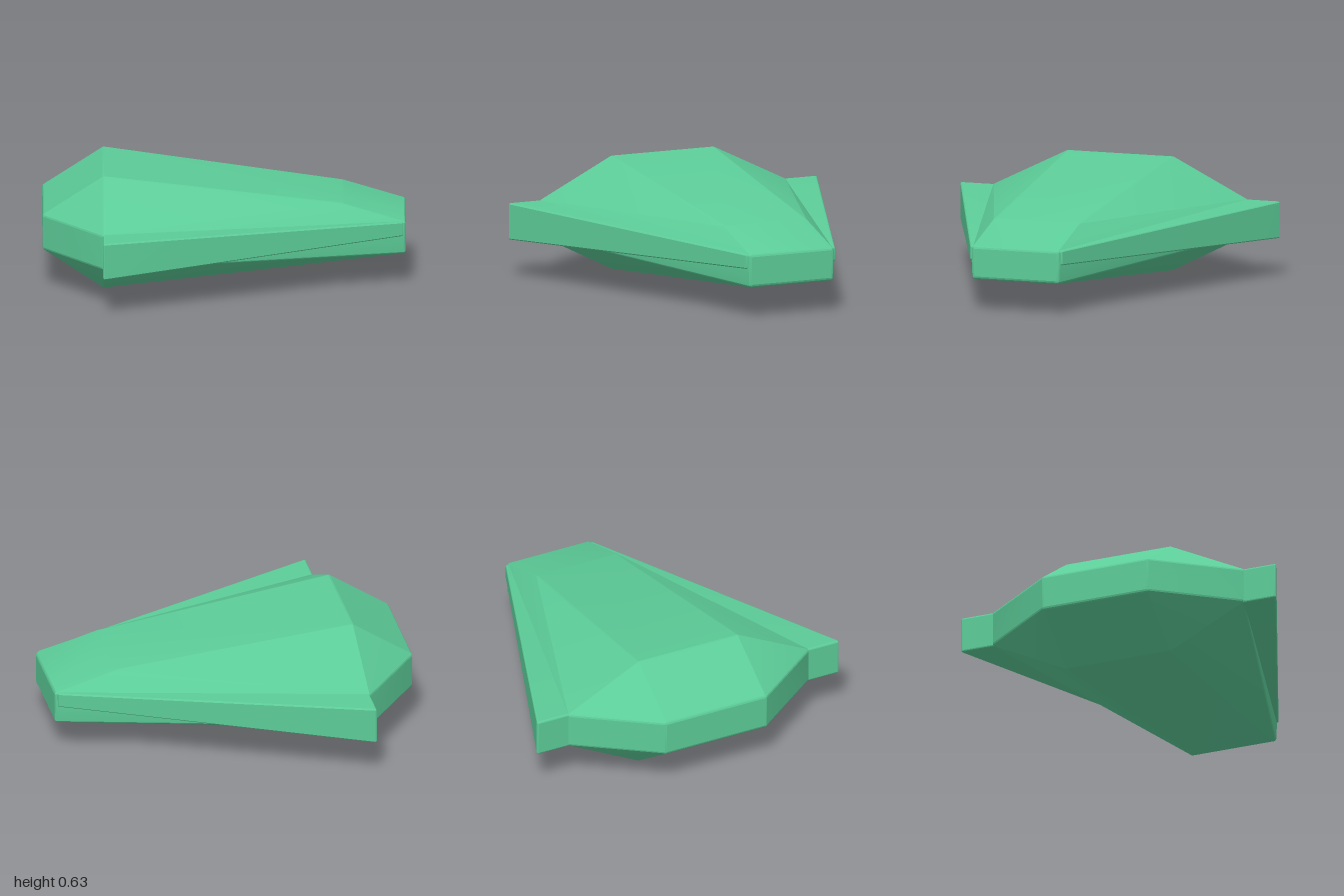
import * as THREE from 'three';
import { ConvexGeometry } from 'three/addons/geometries/ConvexGeometry.js';
import { mergeVertices, toCreasedNormals } from 'three/addons/utils/BufferGeometryUtils.js';

// Unique points of a small ball, used to round every corner
function ballPoints(r) {
  const ball = new THREE.IcosahedronGeometry(r, 1);
  ball.deleteAttribute('normal');
  ball.deleteAttribute('uv');
  const pos = mergeVertices(ball, 1e-4).attributes.position;
  return Array.from({ length: pos.count }, (_, i) => new THREE.Vector3().fromBufferAttribute(pos, i));
}

// Convex solid through corners [x, y, z], mirrored over z, with rounded edges.
// The corners are pulled in so that the rounding stays inside the outline.
function roundedSolid(corners, midY, r) {
  const points = [];
  const ball = ballPoints(r);
  for (const [x, y, z] of corners) {
    for (const side of [1, -1]) {
      const core = new THREE.Vector3(x, y - r * Math.sign(y - midY), side * (z - r));
      // only the end corners need shortening along x
      if (Math.abs(x) > 0.98) core.x -= r * Math.sign(x);
      for (const b of ball) points.push(core.clone().add(b));
    }
  }
  return toCreasedNormals(new ConvexGeometry(points), 0.25);
}

export function createModel() {
  const model = new THREE.Group();
  model.name = 'wedgeCraft';
  const material = new THREE.MeshStandardMaterial({ color: 0x5ccc98 });

  const add = (name, geometry) => {
    const mesh = new THREE.Mesh(geometry, material);
    mesh.name = name;
    model.add(mesh);
  };

  // Faceted hull: blunt stern, high wide shoulder, long taper to the nose
  add('hull', roundedSolid([
    [-1, 0.425, 0.325], [-1, 0.215, 0.325],
    [-0.66, 0.635, 0.325], [-0.66, 0, 0.325],
    [-0.66, 0.425, 0.75], [-0.66, 0.215, 0.75],
    [0.65, 0.465, 0.26],
    [1, 0.365, 0.26], [1, 0.26, 0.262], [1, 0.175, 0.258],
  ], 0.3, 0.018));

  // Swept slab running through the hull, thinner towards the nose
  add('wings', roundedSolid([
    [-0.658, 0.42, 0.937], [-0.658, 0.215, 0.937],
    [0.975, 0.362, 0.274], [0.975, 0.28, 0.274],
  ], 0.32, 0.01));

  return model;
}
